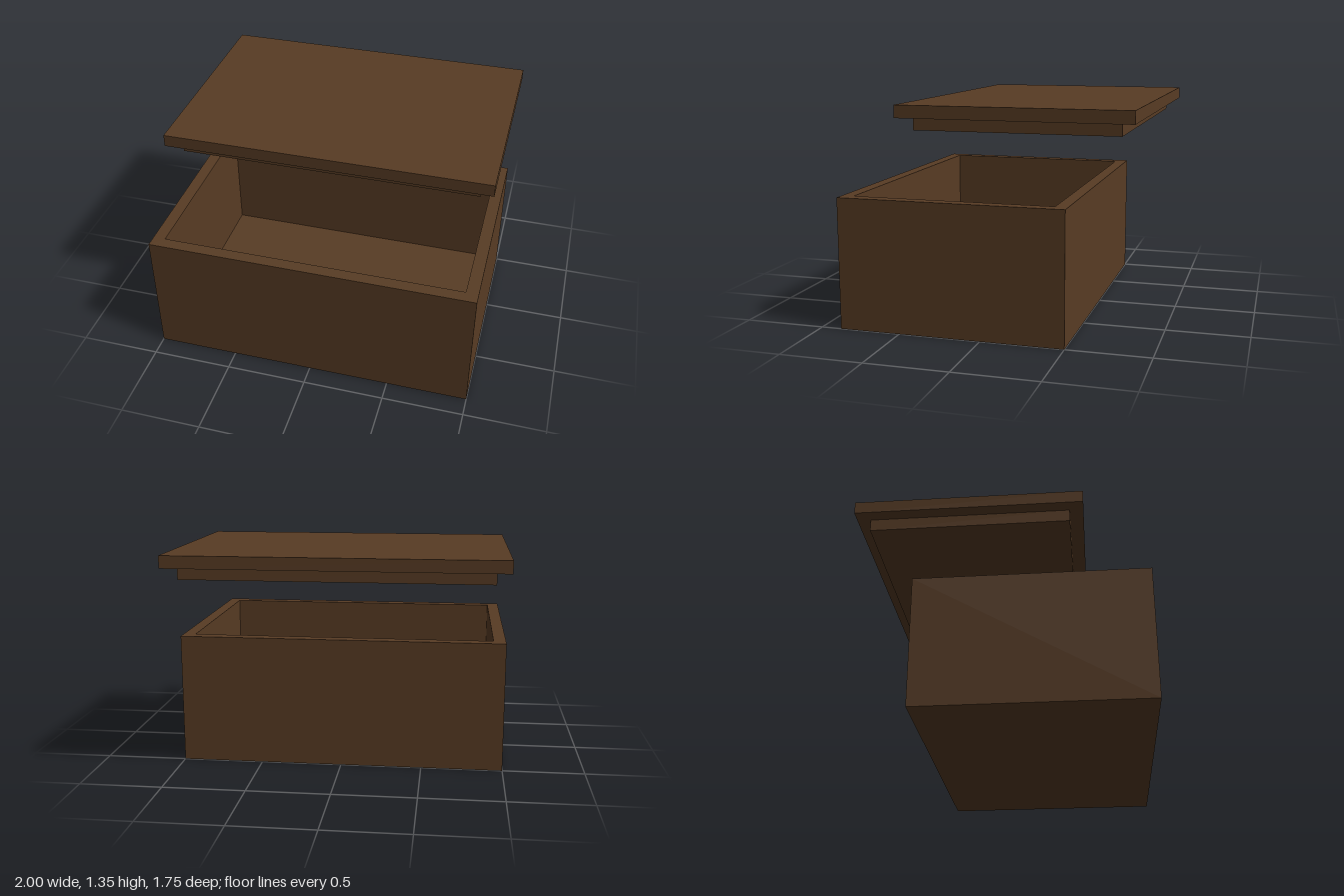
import * as THREE from 'three';

export function createModel() {
  const model = new THREE.Group();
  const wood = new THREE.MeshStandardMaterial({ color: 0x583c24 });
  wood.name = 'dark wood';

  const W = 2, D = 1.375, H = 0.8, T = 0.075; // outer size and board thickness

  const rect = (Type, w, d) => new Type([
    new THREE.Vector2(-w / 2, -d / 2), new THREE.Vector2(w / 2, -d / 2),
    new THREE.Vector2(w / 2, d / 2), new THREE.Vector2(-w / 2, d / 2),
  ]);

  const add = (parent, name, geometry, y) => {
    const mesh = new THREE.Mesh(geometry, wood);
    mesh.name = name;
    mesh.position.y = y;
    parent.add(mesh);
  };

  // Open box: one hollow ring of walls around an inset floor
  const box = new THREE.Group();
  box.name = 'box';
  box.position.z = 0.1875;
  const outline = rect(THREE.Shape, W, D);
  outline.holes.push(rect(THREE.Path, W - 2 * T, D - 2 * T));
  const walls = new THREE.ExtrudeGeometry(outline, { depth: H, bevelEnabled: false });
  walls.rotateX(-Math.PI / 2);
  add(box, 'walls', walls, 0);
  add(box, 'floor', new THREE.BoxGeometry(W - 2 * T, T, D - 2 * T), T / 2);

  // Raised lid, shifted back, with a plug that fits the opening
  const lid = new THREE.Group();
  lid.name = 'lid';
  lid.position.z = -0.1875;
  add(lid, 'lidBoard', new THREE.BoxGeometry(W, T, D), 1.3125);
  add(lid, 'lidPlug', new THREE.BoxGeometry(1.835, T, 1.21), 1.2375);

  model.add(box, lid);
  return model;
}
